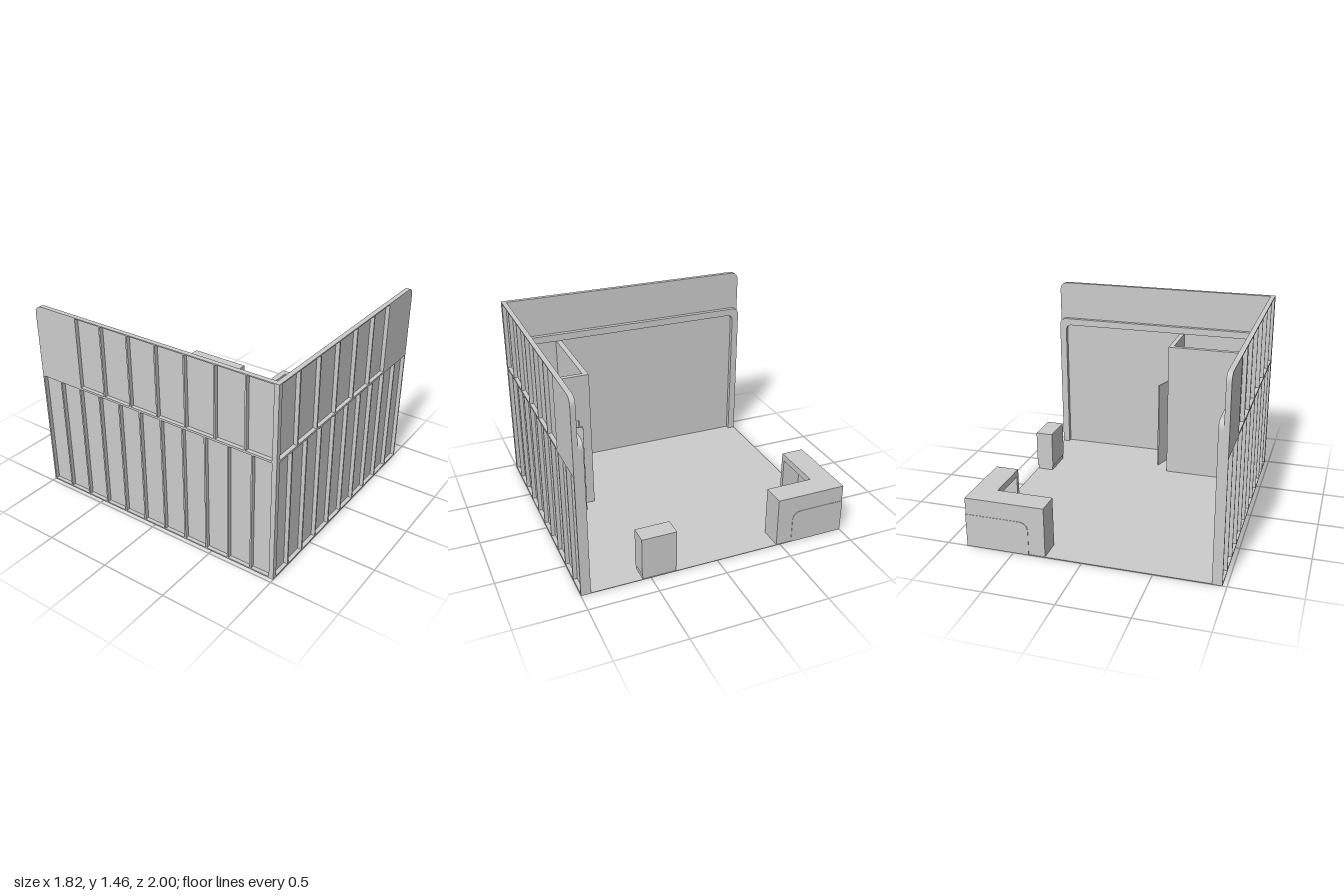
import * as THREE from 'three';

const mat = new THREE.MeshStandardMaterial({ color: 0xcccccc, flatShading: true });

// Box given by its minimum and maximum on each axis
function box(parent, name, x0, x1, y0, y1, z0, z1) {
  const mesh = new THREE.Mesh(
    new THREE.BoxGeometry(Math.abs(x1 - x0), y1 - y0, Math.abs(z1 - z0)), mat);
  mesh.position.set((x0 + x1) / 2, (y0 + y1) / 2, (z0 + z1) / 2);
  mesh.name = name;
  parent.add(mesh);
  return mesh;
}

// Extruded outline lying in x/y, from z to z + depth
function plate(parent, name, shape, depth, z) {
  const geo = new THREE.ExtrudeGeometry(shape, { depth, bevelEnabled: false, curveSegments: 8 });
  const mesh = new THREE.Mesh(geo, mat);
  mesh.position.z = z;
  mesh.name = name;
  parent.add(mesh);
  return mesh;
}

// Rectangle with its far upper corner rounded; m = -1 mirrors it in x
function roundedPanel(u0, u1, y0, y1, r, m) {
  const s = new THREE.Shape();
  s.moveTo(m * u0, y0);
  s.lineTo(m * u0, y1);
  s.lineTo(m * (u1 - r), y1);
  s.quadraticCurveTo(m * u1, y1, m * u1, y1 - r);
  s.lineTo(m * u1, y0);
  s.closePath();
  return s;
}

// Border along the top and the free end of a wall, rounded inside and out
function borderShape(u0, u1, top, w, m) {
  const s = new THREE.Shape(), r = 0.06, ri = 0.05;
  s.moveTo(m * u0, top - w);
  s.lineTo(m * u0, top);
  s.lineTo(m * (u1 - r), top);
  s.quadraticCurveTo(m * u1, top, m * u1, top - r);
  s.lineTo(m * u1, 0);
  s.lineTo(m * (u1 - w), 0);
  s.lineTo(m * (u1 - w), top - w - ri);
  s.quadraticCurveTo(m * (u1 - w), top - w, m * (u1 - w - ri), top - w);
  s.closePath();
  return s;
}

// Wall running from the corner along m * x, outer side at z = 0, inner side at -z
function wall(name, length, lowerBays, upperBays, m) {
  const g = new THREE.Group();
  g.name = name;
  const mid = 0.912, top = 1.455, t = 0.035, sheet = 0.006, stud = 0.006;
  const solid = length - 0.365;
  const b = (part, u0, u1, y0, y1, z0, z1) => box(g, part, m * u0, m * u1, y0, y1, z0, z1);

  b('lowerSheet', 0, length, 0, mid, -t, -t + sheet);
  b('upperSheet', 0, solid, mid, top, -t, -t + sheet);
  plate(g, 'solidPanel', roundedPanel(solid, length, mid, top, 0.065, m), t, -t);

  // Rails and uprights on the outer side
  for (const [u1, y0, y1] of [[length, 0, 0.01], [length, mid - 0.008, mid + 0.008], [solid, top - 0.008, top]])
    b('rail', 0, u1, y0, y1, -t + sheet, 0);
  const uprights = (count, end, y0, y1) => {
    for (let i = 0; i <= count; i++) {
      const u = Math.min(Math.max(end * i / count, stud), end - stud);
      b('upright', u - stud, u + stud, y0, y1, -t + sheet, 0);
    }
  };
  uprights(lowerBays, length, 0.01, mid - 0.008);
  uprights(upperBays, solid, mid + 0.008, top - 0.008);

  // Border on the inner side
  plate(g, 'innerBorder', borderShape(0.07, length, 1.15, 0.055, m), t, -2 * t);
  return g;
}

export function createModel() {
  const model = new THREE.Group();
  model.name = 'exhibitionStand';

  box(model, 'floor', -0.965, 0.85, 0, 0.005, -1, 0.995);

  // Two walls meeting in a corner
  const front = wall('frontWall', 1.82, 10, 6, 1);
  front.position.set(-0.97, 0, 1);
  const side = wall('sideWall', 2, 11, 7, -1);
  side.position.set(-0.97, 0, 1);
  side.rotation.y = -Math.PI / 2;
  model.add(front, side);

  // Storage room with an open top and a door left ajar
  const room = new THREE.Group();
  room.name = 'storageRoom';
  box(room, 'roomBackWall', -0.934, -0.205, 0, 1.09, 0.56, 0.6);
  box(room, 'doorPost', -0.242, -0.205, 0, 1.09, 0.6, 0.65);
  box(room, 'doorLintel', -0.242, -0.205, 0.73, 1.09, 0.65, 0.964);
  box(room, 'doorJamb', -0.242, -0.205, 0, 0.73, 0.925, 0.964);
  const hinge = new THREE.Group();
  hinge.name = 'doorHinge';
  hinge.position.set(-0.2, 0, 0.925);
  hinge.rotation.y = -0.325;
  box(hinge, 'door', -0.006, 0.006, 0.01, 0.725, -0.29, 0);
  room.add(hinge);
  model.add(room);

  // L-shaped counter, open towards the inside
  const desk = new THREE.Group();
  desk.name = 'counter';
  const k = 0.03, h = 0.375, ty = 0.325;
  box(desk, 'counterTop', 0.265, 0.847, ty, h, -0.997, -0.825);
  box(desk, 'counterTopArm', 0.675, 0.847, ty, h, -0.825, -0.47);
  box(desk, 'backPanel', 0.265, 0.847, 0, ty, -0.997, -0.997 + k);
  box(desk, 'sidePanel', 0.847 - k, 0.847, 0, ty, -0.997 + k, -0.47);
  box(desk, 'backEnd', 0.265, 0.265 + k, 0, ty, -0.997 + k, -0.825);
  box(desk, 'armEnd', 0.675, 0.847 - k, 0, ty, -0.47 - k, -0.47);

  // Thin decorative panels wrapping the outer corner of the counter
  const backTrim = new THREE.Group(), sideTrim = new THREE.Group();
  plate(backTrim, 'backTrimPanel', roundedPanel(0, 0.465, 0, 0.25, 0.07, -1), 0.003, 0);
  plate(sideTrim, 'sideTrimPanel', roundedPanel(0, 0.41, 0, 0.25, 0.07, 1), 0.003, 0);
  sideTrim.rotation.y = -Math.PI / 2;
  for (const trim of [backTrim, sideTrim]) {
    trim.name = 'counterTrim';
    trim.position.set(0.85, 0, -1);
    desk.add(trim);
  }
  model.add(desk);

  // Pedestal on a slightly recessed plinth
  box(model, 'pedestalPlinth', 0.72, 0.845, 0, 0.04, 0.315, 0.56);
  box(model, 'pedestal', 0.715, 0.85, 0.04, 0.328, 0.31, 0.565);

  return model;
}
